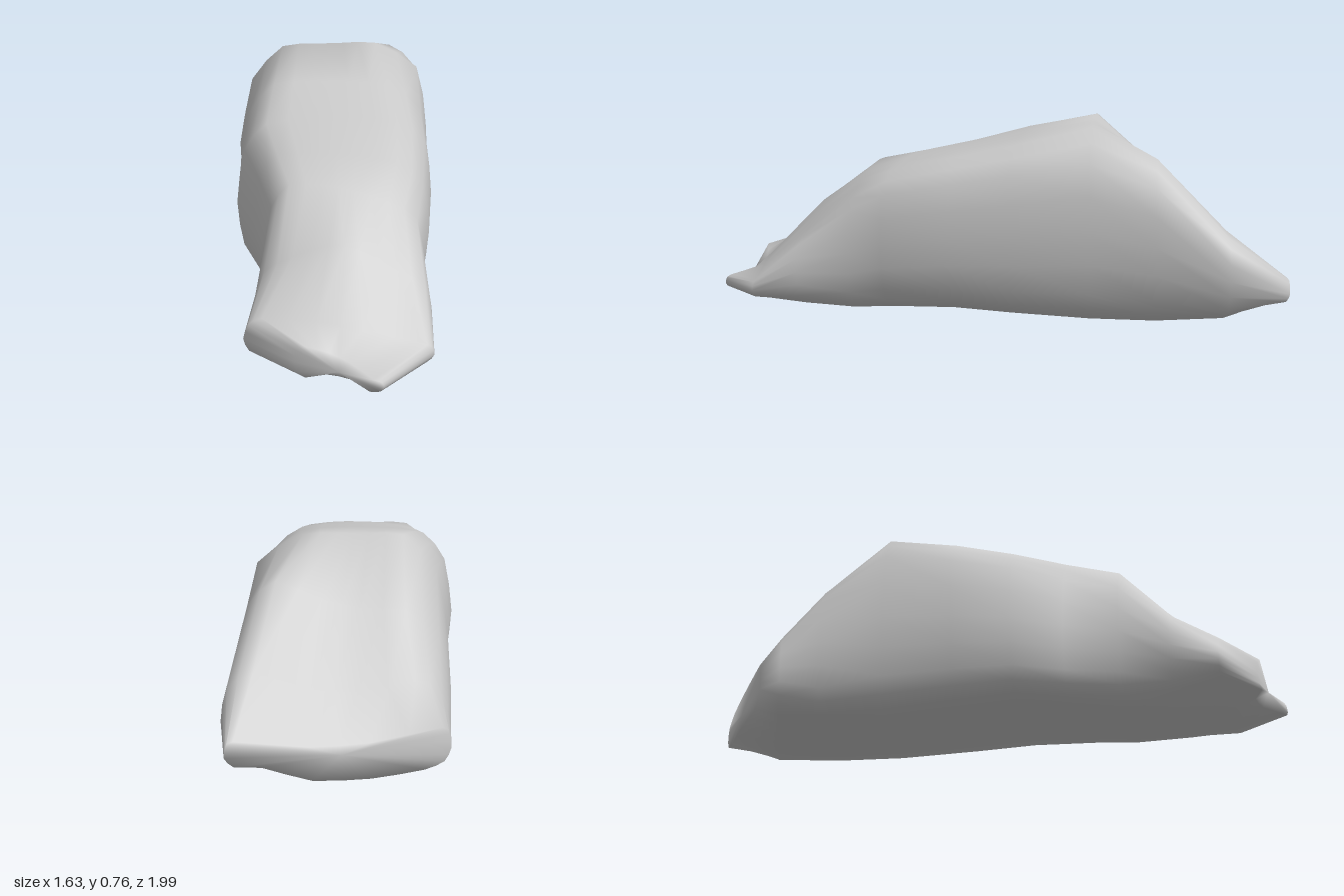
import * as THREE from 'three';

// Cross-sections along the boulder's diagonal axis, back to front:
// [uL, vL, uR, vR, topL, topR, tTopL, tTopR, bottomL, bottomR, sag, dip, midShift]
// u runs along the axis, v across it, t goes from the left wall (0) to the right (1).
const STATIONS = [
  [-0.69, -0.506, -1.07, 0.235, 0.18, 0.24, 0.04, 0.96, 0.03, 0.13, 0.03, 0.03, -0.02],
  [-0.62, -0.50, -0.86, 0.284, 0.33, 0.40, 0.16, 0.86, 0.01, 0.06, 0.01, 0.05, 0],
  [-0.48, -0.49, -0.58, 0.26, 0.54, 0.65, 0.22, 0.83, 0.00, 0.03, 0.01, 0.03, 0],
  [-0.25, -0.465, -0.33, 0.28, 0.75, 0.75, 0.23, 0.72, 0.01, 0.03, 0, -0.005, 0],
  [0.00, -0.456, -0.02, 0.275, 0.69, 0.68, 0.19, 0.79, 0.03, 0.035, 0, -0.015, 0],
  [0.22, -0.454, 0.21, 0.28, 0.62, 0.63, 0.16, 0.82, 0.04, 0.045, 0, -0.02, 0],
  [0.40, -0.385, 0.48, 0.262, 0.58, 0.57, 0.15, 0.82, 0.04, 0.035, 0.01, -0.02, 0],
  [0.60, -0.33, 0.62, 0.238, 0.55, 0.49, 0.16, 0.78, 0.04, 0.02, 0.02, -0.02, 0],
  [0.78, -0.36, 0.82, 0.26, 0.36, 0.32, 0.22, 0.80, 0.04, 0.03, 0.035, -0.06, 0],
  [0.95, -0.39, 1.00, 0.264, 0.21, 0.14, 0.10, 0.92, 0.06, 0.05, 0.02, -0.03, 0.02],
  [1.08, -0.21, 1.18, 0.09, 0.18, 0.10, 0.12, 0.88, 0.06, 0.05, 0, 0.01, -0.05],
];
const SIDES = 28;

// One closed, rounded cross-section in world space
function ring([uL, vL, uR, vR, topL, topR, tL, tR, botL, botR, sag, dip, shift]) {
  const mix = THREE.MathUtils.lerp;
  const point = (t, y, du = 0) => {
    const u = mix(uL, uR, t) + du, v = mix(vL, vR, t);
    return new THREE.Vector3(0.6 * u + 0.8 * v, y, 0.8 * u - 0.6 * v);
  };
  const left = (f) => mix(botL, topL, f), right = (f) => mix(botR, topR, f);
  const under = (t) => point(t, mix(botL, botR, t) - sag, shift);
  const crown = (f) => point(mix(tL, tR, f), mix(topL, topR, f) - dip, shift);
  const points = [
    point(0.12, botL), under(0.36), under(0.62), point(0.84, botR),
    point(0.96, right(0.16)), point(1, right(0.5)), point(mix(1, tR, 0.2), right(0.85)),
    point(tR, topR), crown(0.65), crown(0.35), point(tL, topL),
    point(mix(0, tL, 0.28), left(0.82)), point(0, left(0.45)), point(0.03, left(0.14)),
  ];
  const curve = new THREE.CatmullRomCurve3(points, true, 'catmullrom', 0.3);
  return Array.from({ length: SIDES }, (_, i) => curve.getPoint(i / SIDES));
}

// Skin the rings and close both ends
function loft(rings) {
  const vertices = rings.flat(), index = [];
  for (let k = 0; k < rings.length - 1; k++) {
    for (let i = 0; i < SIDES; i++) {
      const j = (i + 1) % SIDES;
      const a = k * SIDES + i, b = k * SIDES + j;
      index.push(a, b, b + SIDES, a, b + SIDES, a + SIDES);
    }
  }
  for (const k of [0, rings.length - 1]) {
    const centre = new THREE.Vector3();
    rings[k].forEach((p) => centre.addScaledVector(p, 1 / SIDES));
    const c = vertices.push(centre) - 1;
    for (let i = 0; i < SIDES; i++) {
      const a = k * SIDES + i, b = k * SIDES + (i + 1) % SIDES;
      if (k === 0) index.push(c, b, a);
      else index.push(c, a, b);
    }
  }
  const geometry = new THREE.BufferGeometry().setFromPoints(vertices);
  geometry.setIndex(index);
  // Rest the underside on the ground
  const pos = geometry.attributes.position;
  for (let i = 0; i < pos.count; i++) pos.setY(i, Math.max(0, pos.getY(i)));
  geometry.computeVertexNormals();
  return geometry;
}

export function createModel() {
  const stone = new THREE.MeshStandardMaterial({ color: 0xcacaca });
  stone.name = 'grey stone';

  const boulder = new THREE.Mesh(loft(STATIONS.map(ring)), stone);
  boulder.name = 'boulder';

  const model = new THREE.Group();
  model.name = 'rock';
  model.add(boulder);
  return model;
}
